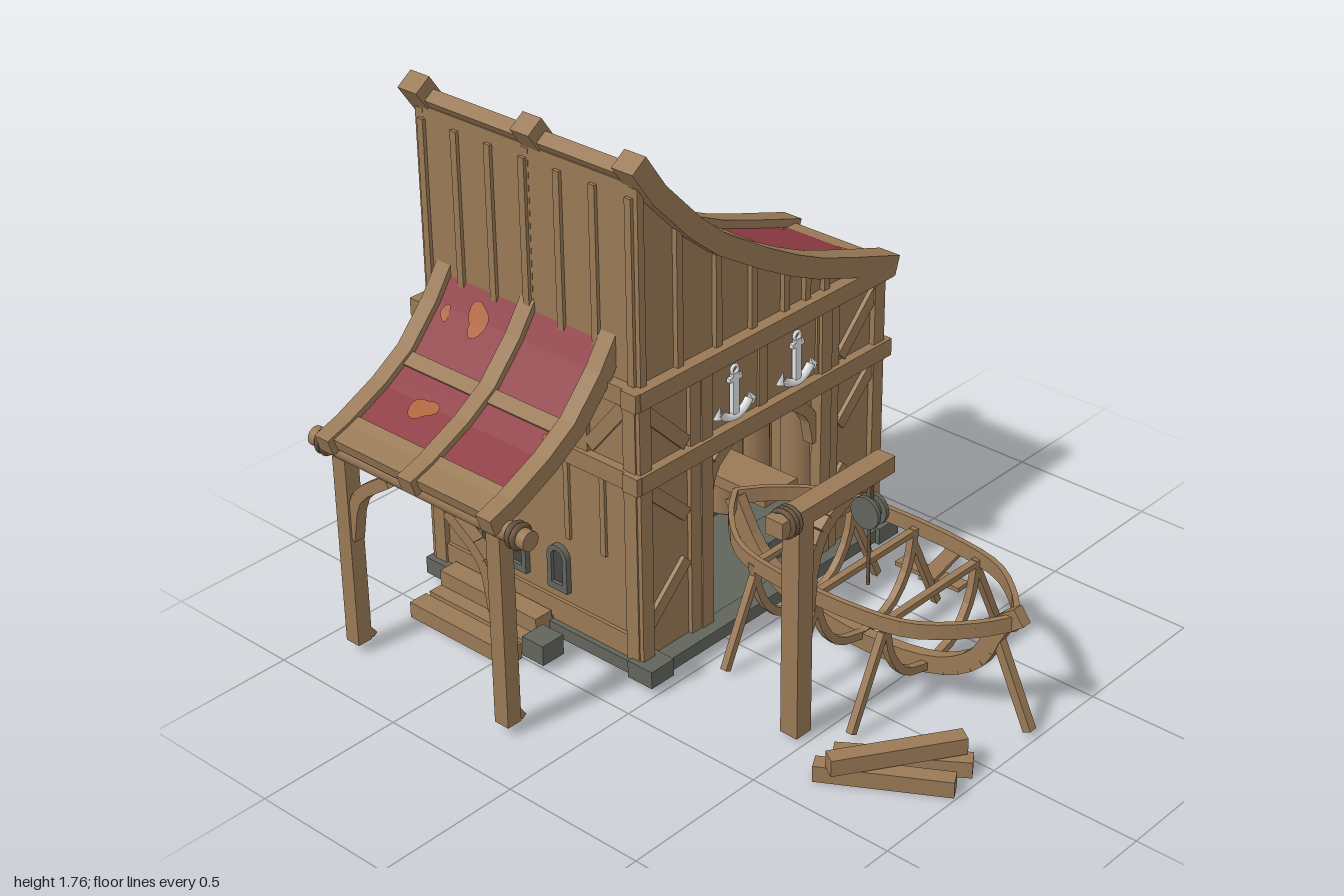
import * as THREE from 'three';

const mat = (name, color) => Object.assign(new THREE.MeshStandardMaterial({ color }), { name });
const wood = mat('wood', 0x997956), red = mat('red cloth', 0x8e3b43), rust = mat('rust patch', 0xac6138);
const stone = mat('stone', 0x61645b), iron = mat('pale iron', 0xe4e7ea), dark = mat('dark', 0x454641);
const rope = mat('rope', 0x6a543f), lining = mat('pale lining', 0xe4e4e4);
rust.side = THREE.DoubleSide;

const V = (x, y, z) => new THREE.Vector3(x, y, z);

function add(parent, name, geo, m, x = 0, y = 0, z = 0) {
  const mesh = new THREE.Mesh(geo, m);
  mesh.name = name;
  mesh.position.set(x, y, z);
  parent.add(mesh);
  return mesh;
}
// Box given by its min and max on each axis
const box = (p, name, m, x0, x1, y0, y1, z0, z1) =>
  add(p, name, new THREE.BoxGeometry(x1 - x0, y1 - y0, z1 - z0), m, (x0 + x1) / 2, (y0 + y1) / 2, (z0 + z1) / 2);
// Straight timber between two points
function beam(p, name, a, b, w, h) {
  const mesh = add(p, name, new THREE.BoxGeometry(w, h, a.distanceTo(b)), wood);
  mesh.position.addVectors(a, b).multiplyScalar(0.5);
  mesh.quaternion.setFromRotationMatrix(new THREE.Matrix4().lookAt(b, a, V(0, 1, 0)));
}
// Bent timber as a chain of short ones
function bent(p, name, pts, w, h, n = 10) {
  const q = new THREE.CatmullRomCurve3(pts).getPoints(n);
  for (let i = 0; i < n; i++) beam(p, name, q[i], q[i + 1].clone().lerp(q[i], -0.05), w, h);
}
const cyl = (p, name, r, len, m, x, y, z, axis = 'y', sides = 16) => {
  const g = new THREE.CylinderGeometry(r, r, len, sides);
  if (axis === 'z') g.rotateX(Math.PI / 2);
  if (axis === 'x') g.rotateZ(Math.PI / 2);
  return add(p, name, g, m, x, y, z);
};

// Roof profiles, as top edges in x and y
const MAIN = [[-0.33, 1.765], [-0.25, 1.65], [-0.1, 1.495], [0.01, 1.405], [0.2, 1.29], [0.33, 1.22], [0.45, 1.165], [0.62, 1.105], [0.83, 1.035]];
const AWN = [[-0.87, 0.78], [-0.78, 0.81], [-0.63, 0.88], [-0.52, 0.95], [-0.41, 1.07], [-0.335, 1.18]];
function height(P, x) {
  let i = 0;
  while (i < P.length - 2 && x > P[i + 1][0]) i++;
  const [a, b] = [P[i], P[i + 1]];
  return a[1] + (b[1] - a[1]) * (x - a[0]) / (b[0] - a[0]);
}
const slope = (P, x) => (height(P, x + 0.01) - height(P, x - 0.01)) / 0.02;
const below = (P, x, d) => height(P, x) - d * Math.hypot(1, slope(P, x));
const span = (P, x0, x1) => [x0, ...P.map(q => q[0]).filter(x => x > x0 + 0.005 && x < x1 - 0.005), x1];
// Curved slab following a profile, between two depths below it
function slab(p, name, m, P, x0, x1, d0, d1, z0, z1) {
  const edge = d => span(P, x0, x1).map(x => {
    const s = slope(P, x), l = Math.hypot(1, s);
    return new THREE.Vector2(x + s * d / l, height(P, x) - d / l);
  });
  const shape = new THREE.Shape([...edge(d1), ...edge(d0).reverse()]);
  add(p, name, new THREE.ExtrudeGeometry(shape, { depth: z1 - z0, bevelEnabled: false }), m, 0, 0, z0);
}
// Irregular thin patch lying on a roof
function patch(p, P, cx, cz, r, d) {
  const g = new THREE.CircleGeometry(r, 18).rotateX(-Math.PI / 2), a = g.attributes.position;
  for (let i = 0; i < a.count; i++) {
    const t = Math.atan2(a.getZ(i), a.getX(i));
    const k = 0.85 + 0.15 * Math.sin(2 * t + cx * 40) + 0.12 * Math.sin(3 * t + cz * 30);
    const x = cx + a.getX(i) * k * 0.85;
    a.setXYZ(i, x, below(P, x, d), cz + a.getZ(i) * k * 1.1);
  }
  g.computeVertexNormals();
  add(p, 'rustPatch', g, rust);
}

function archWindow(p, x) {
  const arch = (C, w, y0, y1) => {
    const s = new C();
    s.moveTo(-w, y0); s.lineTo(w, y0); s.lineTo(w, y1);
    s.absarc(0, y1, w, 0, Math.PI, false);
    return s;
  };
  const s = arch(THREE.Shape, 0.042, 0.2, 0.32);
  s.holes.push(arch(THREE.Path, 0.024, 0.225, 0.32));
  add(p, 'windowFrame', new THREE.ExtrudeGeometry(s, { depth: 0.055, bevelEnabled: false, curveSegments: 8 }), stone, x, 0, -0.035);
  add(p, 'windowPane', new THREE.ShapeGeometry(arch(THREE.Shape, 0.03, 0.21, 0.32), 8), dark, x, 0, 0.008);
}

// One timber wall: local x runs along it, local z points outwards
function wall(root, name, x, z, turn, L, { logs = true, windows = [], flip = 1 } = {}) {
  const w = new THREE.Group();
  w.name = name;
  w.position.set(x, 0, z);
  w.rotation.y = turn;
  root.add(w);
  box(w, 'wallBoards', wood, 0, L, 0.08, 1.0, -0.03, 0);
  for (const y of [0.69, 0.97]) box(w, 'wallBand', wood, -0.03, L + 0.03, y, y + 0.06, -0.03, 0.03);
  for (const u of [0.02, L - 0.02]) box(w, 'cornerPost', wood, u - 0.025, u + 0.025, 0.08, 1.0, -0.02, 0.02);
  if (!logs) {
    const c = L / 2 + flip * 0.035, j = L / 2 - flip * 0.09;
    box(w, 'jambPost', wood, j - 0.025, j + 0.025, 0.08, 0.97, 0, 0.015);
    for (const [s, y0, y1] of [[1, 0.77, 0.94], [1, 0.52, 0.68], [-1, 0.2, 0.36]])
      beam(w, 'diagonalBrace', V(c - s * 0.085 * flip, y0, 0.005), V(c + s * 0.085 * flip, y1, 0.005), 0.02, 0.045);
    return;
  }
  const bays = Math.max(1, Math.round(L / 0.42)), b = L / bays;
  for (let i = 0; i < bays; i++) {
    const c = (i + 0.5) * b;
    box(w, 'middlePost', wood, c - 0.025, c + 0.025, 0.75, 0.97, 0, 0.015);
    for (const s of [-1, 1]) beam(w, 'diagonalBrace', V(c + s * 0.03, 0.775, 0.005), V(c + s * (b / 2 - 0.05), 0.95, 0.005), 0.02, 0.045);
    if (i) box(w, 'bayPost', wood, i * b - 0.03, i * b + 0.03, 0.75, 0.97, 0, 0.018);
    for (const k of [-0.17, 0.17]) {
      if (windows.length) box(w, 'batten', wood, c + k * b - 0.01, c + k * b + 0.01, 0.4, 0.69, 0, 0.01);
      else cyl(w, 'halfLog', 0.06, 0.61, wood, c + k * b, 0.385, -0.032);
    }
    box(w, 'footBoard', wood, c - b / 2, c + b / 2, 0.08, 0.16, 0, 0.012);
  }
  windows.forEach(u => archWindow(w, u));
}

function anchor(root, x) {
  const a = new THREE.Group();
  a.name = 'anchor';
  a.position.set(x, 0, -0.062);
  root.add(a);
  add(a, 'ring', new THREE.TorusGeometry(0.014, 0.006, 6, 12), iron, 0, 0.935, 0);
  box(a, 'shank', iron, -0.013, 0.013, 0.77, 0.925, -0.008, 0.008);
  box(a, 'stock', iron, -0.028, 0.028, 0.9, 0.914, -0.007, 0.007);
  const arc = add(a, 'arms', new THREE.TorusGeometry(0.08, 0.014, 6, 14, 2), iron, 0, 0.855, 0);
  arc.rotation.z = -Math.PI / 2 - 1;
  for (const s of [-1, 1]) {
    const f = add(a, 'fluke', new THREE.ConeGeometry(0.024, 0.045, 4).scale(1, 1, 0.5), iron, s * 0.07, 0.815, 0);
    f.rotation.z = s * 0.3;
  }
}

export function createModel() {
  const g = new THREE.Group();
  g.name = 'boatHouse';

  // Stone footing, corner blocks and the floor of the boat bay
  const F = [[-0.38, 0.8, -0.09, -0.02], [0.72, 0.8, -0.57, -0.02], [0.32, 0.8, -0.57, -0.49], [0.32, 0.4, -0.99, -0.5], [-0.38, 0.4, -0.99, -0.92], [-0.38, -0.31, -0.99, -0.02]];
  for (const [x0, x1, z0, z1] of F) box(g, 'footing', stone, x0, x1, 0.035, 0.08, z0, z1);
  for (const [x, z] of [[-0.34, -0.055], [0.76, -0.055], [0.76, -0.52], [0.36, -0.52], [0.36, -0.95], [-0.34, -0.95], [-0.34, -0.5]])
    box(g, 'cornerStone', stone, x - 0.05, x + 0.05, 0.03, 0.09, z - 0.05, z + 0.05);
  box(g, 'floor', stone, -0.05, 0.76, 0.055, 0.07, -0.52, -0.05);
  box(g, 'floorUnderside', dark, -0.05, 0.73, 0.047, 0.054, -0.5, -0.08);

  // Walls around an L-shaped plan
  const q = Math.PI / 2;
  wall(g, 'frontLeftPanel', -0.36, -0.08, 0, 0.31, { logs: false, flip: -1 });
  wall(g, 'frontRightPanel', 0.47, -0.08, 0, 0.3, { logs: false });
  wall(g, 'rightWall', 0.77, -0.08, q, 0.45);
  wall(g, 'innerBackWall', 0.77, -0.53, 2 * q, 0.4);
  wall(g, 'rearRightWall', 0.37, -0.53, q, 0.44);
  wall(g, 'backWall', 0.37, -0.97, 2 * q, 0.73, { windows: [0.14, 0.36, 0.58] });
  wall(g, 'leftWall', -0.35, -0.97, -q, 0.89, { windows: [0.18, 0.37, 0.55] });

  // Inner partitions behind the doorway
  box(g, 'partition', wood, -0.06, 0.37, 0.06, 1.0, -0.525, -0.5);
  box(g, 'partition', wood, -0.075, -0.05, 0.06, 1.0, -0.525, -0.1);

  // Front doorway
  box(g, 'doorHead', wood, -0.06, 0.48, 0.69, 1.0, -0.11, -0.08);
  for (const y of [0.69, 0.97]) box(g, 'frontBand', wood, -0.37, 0.8, y, y + 0.06, -0.11, -0.048);
  for (const x of [-0.055, 0.2, 0.475]) box(g, 'upperPost', wood, x - 0.02, x + 0.02, 0.75, 0.97, -0.09, -0.072);
  for (const [x, s] of [[-0.05, 1], [0.47, -1]])
    bent(g, 'doorBrace', [V(x, 0.5, -0.1), V(x + s * 0.03, 0.61, -0.1), V(x + s * 0.13, 0.69, -0.1)], 0.04, 0.04, 5);
  box(g, 'workbench', wood, 0.3, 0.46, 0.3, 0.34, -0.45, -0.15);
  box(g, 'stoneBlock', stone, 0.33, 0.45, 0.07, 0.15, -0.28, -0.16);

  // Gable walls with battens, and the tall left wall
  const gable = (z, xEnd, out) => {
    const xs = span(MAIN, -0.33, xEnd);
    const s = new THREE.Shape([V(-0.34, 1), V(xEnd, 1), ...xs.reverse().map(x => V(x, Math.max(1.01, below(MAIN, x, 0.035)))), V(-0.34, 1.69)].map(v => new THREE.Vector2(v.x, v.y)));
    add(g, 'gable', new THREE.ExtrudeGeometry(s, { depth: 0.03, bevelEnabled: false }), wood, 0, 0, z);
    for (const x of [-0.33, -0.17, 0, 0.16, 0.31, 0.41, 0.5])
      if (x < xEnd - 0.03) box(g, 'gableBatten', wood, x - 0.013, x + 0.013, 1.02, below(MAIN, x, 0.06), z + 0.015 + Math.min(0, out * 0.032), z + 0.015 + Math.max(0, out * 0.032));
  };
  gable(-0.12, 0.72, 1);
  gable(-0.96, 0.37, -1);
  gable(-0.52, 0.72, -1);
  box(g, 'tallLeftWall', wood, -0.342, -0.315, 0.98, 1.67, -0.96, -0.09);
  for (let i = 0; i < 7; i++) box(g, 'tallWallBatten', wood, -0.354, -0.335, 1.02, 1.63, -0.96 + i * 0.141, -0.935 + i * 0.141);
  box(g, 'rearEaveWall', wood, 0.34, 0.365, 1.0, 1.15, -0.96, -0.52);
  for (const z of [-0.6, -0.75, -0.9]) box(g, 'eaveBatten', wood, 0.35, 0.375, 1.02, 1.15, z - 0.012, z + 0.012);

  // Main roof
  slab(g, 'roofCover', red, MAIN, -0.29, 0.815, 0.028, 0.045, -0.5, -0.08);
  slab(g, 'roofCover', red, MAIN, -0.29, 0.33, 0.028, 0.045, -0.97, -0.5);
  for (const [z0, z1, x1] of [[-0.13, -0.048, 0.83], [-0.53, -0.455, 0.83], [-1.0, -0.92, 0.38]])
    slab(g, 'roofRafter', wood, MAIN, -0.33, x1, 0, 0.068, z0, z1);
  for (const [x0, x1] of [[-0.305, -0.26], [-0.11, -0.06], [0.265, 0.365]])
    slab(g, 'roofPurlin', wood, MAIN, x0, x1, 0.014, 0.06, -0.95, -0.09);
  for (const [x, z, r] of [[0.03, -0.71, 0.06], [-0.24, -0.7, 0.05], [0.23, -0.59, 0.025], [0.23, -0.88, 0.025], [0.01, -0.82, 0.025], [0.735, -0.2, 0.025], [0.7, -0.43, 0.015]])
    patch(g, MAIN, x, z, r, 0.023);

  // Lean-to roof on the side
  const a = new THREE.Group();
  a.name = 'leanTo';
  g.add(a);
  slab(a, 'leanToCover', red, AWN, -0.78, -0.345, 0.02, 0.035, -0.9, -0.19);
  slab(a, 'leanToLining', lining, AWN, -0.75, -0.36, 0.036, 0.042, -0.88, -0.21);
  for (const z of [-0.2, -0.53, -0.89]) slab(a, 'leanToRafter', wood, AWN, -0.87, -0.338, 0, 0.06, z - 0.03, z + 0.03);
  for (const [x0, x1] of [[-0.85, -0.75], [-0.56, -0.52]]) slab(a, 'leanToPurlin', wood, AWN, x0, x1, 0.01, 0.05, -0.89, -0.2);
  for (const [x, z, r] of [[-0.64, -0.69, 0.05], [-0.4, -0.69, 0.045], [-0.57, -0.24, 0.014], [-0.41, -0.82, 0.022]]) patch(a, AWN, x, z, r, 0.015);
  cyl(a, 'eaveLog', 0.032, 0.92, wood, -0.8, 0.72, -0.54, 'z');
  for (const z of [-0.12, -0.14, -0.935, -0.955]) add(a, 'ropeLashing', new THREE.TorusGeometry(0.035, 0.01, 6, 16), rope, -0.8, 0.72, z);
  for (const [z, s] of [[-0.21, -1], [-0.87, 1]]) {
    box(a, 'leanToPost', wood, -0.827, -0.772, 0.035, 0.7, z - 0.028, z + 0.028);
    beam(a, 'postFoot', V(-0.79, 0.09, z), V(-0.755, 0.04, z), 0.05, 0.02);
    bent(a, 'postBrace', [V(-0.8, 0.42, z + s * 0.02), V(-0.8, 0.58, z + s * 0.06), V(-0.8, 0.69, z + s * 0.2)], 0.04, 0.04, 6);
  }

  // Timber stack beside the wall
  for (const [x, y] of [[-0.545, 0.03], [-0.46, 0.03], [-0.41, 0.085]]) box(g, 'stackedTimber', wood, x - 0.03, x + 0.04, y - 0.028, y + 0.028, -0.88, -0.45);
  box(g, 'stackStone', stone, -0.52, -0.43, 0.03, 0.1, -0.43, -0.34);

  // Hoist
  const h = new THREE.Group();
  h.name = 'hoist';
  g.add(h);
  box(h, 'hoistPost', wood, -0.275, -0.21, 0.01, 0.75, 0.41, 0.475);
  box(h, 'hoistArm', wood, -0.35, 0.16, 0.74, 0.795, 0.41, 0.475);
  bent(h, 'hoistBrace', [V(-0.21, 0.42, 0.443), V(-0.19, 0.58, 0.443), V(-0.14, 0.68, 0.443), V(-0.03, 0.74, 0.443)], 0.045, 0.045, 8);
  for (const x of [-0.31, -0.295, -0.28]) add(h, 'ropeCoil', new THREE.TorusGeometry(0.041, 0.009, 6, 16).rotateY(q), rope, x, 0.766, 0.443);
  for (const x of [0.068, 0.106]) cyl(h, 'pulleyCheek', 0.053, 0.014, stone, x, 0.63, 0.443, 'x');
  cyl(h, 'pulleyWheel', 0.035, 0.03, rope, 0.087, 0.63, 0.443, 'x');
  box(h, 'pulleyHanger', rope, 0.08, 0.095, 0.64, 0.75, 0.435, 0.45);
  cyl(h, 'hoistRope', 0.006, 0.26, rope, 0.087, 0.5, 0.443, 'y', 6);

  // Boat frame on props
  const b = new THREE.Group();
  b.name = 'boatFrame';
  b.position.x = 0.215;
  g.add(b);
  bent(b, 'keel', [V(0, 0.4, 0.92), V(0, 0.34, 0.85), V(0, 0.2, 0.78), V(0, 0.11, 0.65), V(0, 0.065, 0.42), V(0, 0.07, 0.2), V(0, 0.11, 0.04), V(0, 0.2, -0.1), V(0, 0.36, -0.2)], 0.038, 0.06, 24);
  beam(b, 'bowProp', V(0, 0.31, 0.83), V(0, 0.015, 0.97), 0.03, 0.03);
  for (const s of [-1, 1]) {
    bent(b, 'gunwale', [V(0, 0.37, 0.9), V(s * 0.1, 0.36, 0.82), V(s * 0.21, 0.352, 0.68), V(s * 0.25, 0.35, 0.5), V(s * 0.25, 0.35, 0.15), V(s * 0.21, 0.352, 0), V(s * 0.1, 0.36, -0.13), V(0, 0.365, -0.2)], 0.018, 0.052, 22);
    for (const z of [0.085, 0.33, 0.585]) {
      const w = z > 0.5 ? 0.225 : 0.24;
      bent(b, 'rib', [V(s * w, 0.35, z), V(s * w * 0.88, 0.22, z), V(s * w * 0.55, 0.12, z), V(0, 0.08, z)], 0.024, 0.026, 8);
      beam(b, 'propLeg', V(s * 0.23, 0.31, z), V(s * 0.37, 0.02, z), 0.024, 0.024);
    }
  }
  for (const z of [0.085, 0.33, 0.585]) box(b, 'thwart', wood, -0.245, 0.245, 0.33, 0.35, z - 0.012, z + 0.012);

  // Loose planks on the ground
  const plank = (x0, y0, z0, x1, y1, z1, t = 0.055) => beam(g, 'loosePlank', V(x0, y0, z0), V(x1, y1, z1), 0.055, t);
  plank(-0.37, 0.028, 0.62, -0.16, 0.028, 0.98);
  plank(-0.28, 0.028, 0.62, -0.05, 0.028, 0.96);
  plank(-0.39, 0.09, 0.69, -0.04, 0.09, 0.92);
  plank(0.69, 0.025, 0.1, 0.69, 0.03, 0.36, 0.015);
  plank(0.61, 0.06, 0.27, 0.865, 0.03, 0.2, 0.015);

  for (const x of [0.055, 0.345]) anchor(g, x);
  return g;
}
